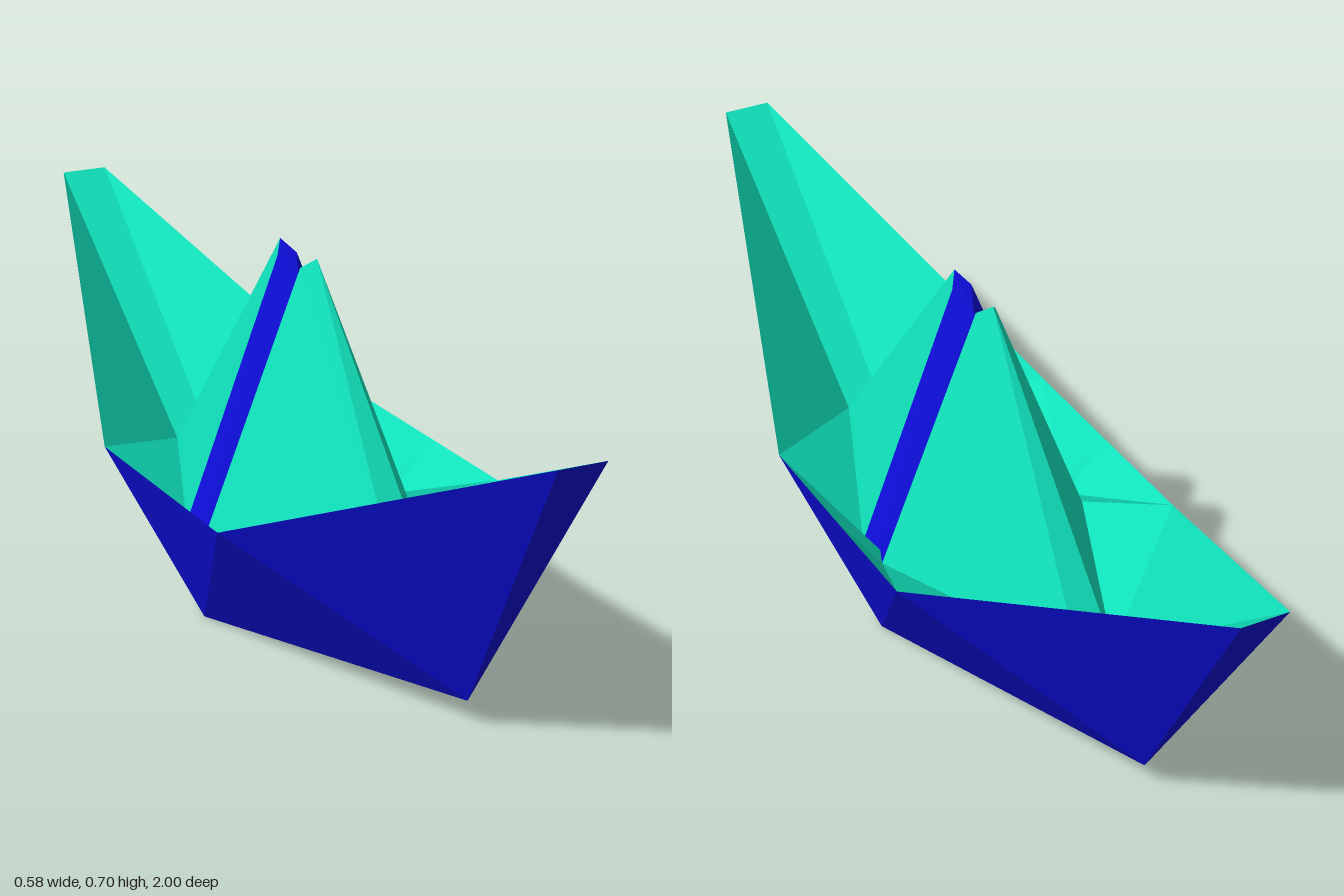
import * as THREE from 'three';

const hullBlue = new THREE.MeshStandardMaterial({ color: 0x0d0dd8 });
hullBlue.name = 'paperBlue';
const innerTeal = new THREE.MeshStandardMaterial({ color: 0x10e2bb });
innerTeal.name = 'paperTeal';

// Fold points of one quarter of the boat (+x, +z); a trailing 0 marks a point on a mirror plane
const p = {
  tip: [0.047, 0.606, 1], tip0: [0, 0.606, 1],
  bow: [0, 0.05, 0.65],
  keel: [0.2, 0, 0], keel0: [0, 0, 0],
  rim: [0.29, 0.276, 0.25], rim0: [0.29, 0.276, 0],
  fold: [0.035, 0.18, 0.47], fold0: [0, 0.18, 0.47],
  foot: [0.216, 0.18, 0.04], foot0: [0.2, 0.18, 0],
  shoulder: [0.02, 0.677, 0.046],
  peak: [0, 0.7, 0.075],
  valley: [0, 0.645, 0],
};

// Mirrors the quarter's polygons into all four quadrants, keeping faces outward
function foldedSheet(name, material, polygons) {
  const positions = [];
  for (const sx of [1, -1]) for (const sz of [1, -1]) {
    for (const poly of polygons) {
      const pts = poly.split(' ').map((key) => [p[key][0] * sx, p[key][1], p[key][2] * sz]);
      if (sx * sz < 0) pts.reverse();
      for (let i = 1; i < pts.length - 1; i++) positions.push(...pts[0], ...pts[i], ...pts[i + 1]);
    }
  }
  const geometry = new THREE.BufferGeometry();
  geometry.setAttribute('position', new THREE.Float32BufferAttribute(positions, 3));
  geometry.computeVertexNormals();
  const mesh = new THREE.Mesh(geometry, material);
  mesh.name = name;
  return mesh;
}

export function createModel() {
  const boat = new THREE.Group();
  boat.name = 'paperBoat';
  boat.add(
    // Outside of the hull: bow sides, flanks, bow strip and bottom
    foldedSheet('hullOutside', hullBlue, [
      'tip bow rim', 'bow keel rim', 'keel rim0 rim', 'tip tip0 bow', 'bow keel0 keel',
    ]),
    // Inside of the hull, from the raised tips down to the foot of the sail
    foldedSheet('hullInside', innerTeal, [
      'tip rim fold', 'tip fold fold0 tip0', 'fold rim foot', 'rim rim0 foot0 foot',
    ]),
    // Two leaning halves of the centre peak
    foldedSheet('sail', innerTeal, [
      'fold foot shoulder', 'fold shoulder peak', 'fold peak fold0',
    ]),
    // Creased groove between the sail halves
    foldedSheet('sailGroove', hullBlue, [
      'shoulder foot foot0', 'shoulder foot0 valley', 'peak shoulder valley',
    ]),
  );
  return boat;
}
